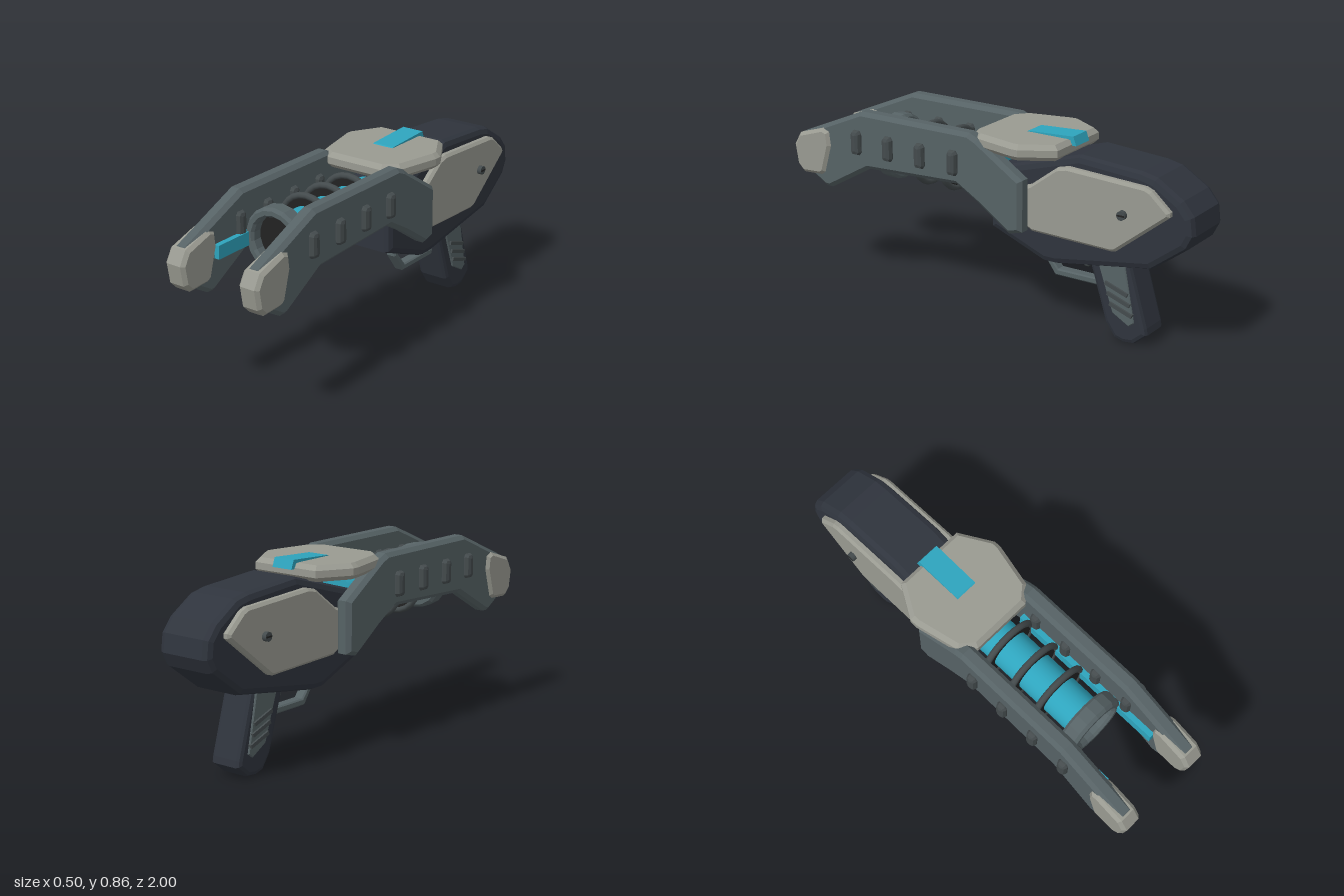
import * as THREE from 'three';

const mat = (name, color) => Object.assign(new THREE.MeshStandardMaterial({ color }), { name });

export function createModel() {
  const root = new THREE.Group();
  root.name = 'toyBlaster';
  const navy = mat('navy shell', 0x2f343d);
  const stone = mat('stone panel', 0x999a91);
  const grey = mat('slate grey', 0x566265);
  const dark = mat('dark grey', 0x444b4d);
  const cyan = mat('cyan glow', 0x2ea4bd);
  const black = mat('black core', 0x222222);

  const add = (geo, material, name, parent = root) => {
    const m = new THREE.Mesh(geo, material);
    m.name = name;
    parent.add(m);
    return m;
  };

  // Bevelled slab kept inside its outline and thickness
  const slab = (pts, width, bevel, segments = 1) => {
    const g = new THREE.ExtrudeGeometry(new THREE.Shape(pts.map(p => new THREE.Vector2(...p))), {
      depth: width - 2 * bevel, steps: 1, bevelEnabled: bevel > 0, bevelSize: bevel,
      bevelThickness: bevel, bevelOffset: -bevel, bevelSegments: segments,
    });
    return g.translate(0, 0, -(width - 2 * bevel) / 2);
  };
  // Side profile given as (z, y), centred on x
  const side = (pts, width, bevel, x = 0, segments = 1) =>
    slab(pts, width, bevel, segments).rotateY(-Math.PI / 2).translate(x, 0, 0);

  // Rear shell
  add(side([[-0.02, 0.41], [-0.29, 0.305], [-0.35, 0.305], [-0.81, 0.38], [-0.97, 0.5], [-1, 0.56],
    [-0.99, 0.64], [-0.94, 0.7], [-0.82, 0.775], [-0.75, 0.79], [-0.46, 0.81], [-0.24, 0.745],
    [-0.02, 0.68]], 0.266, 0.03, 0, 2), navy, 'shell');

  // Top plate and raised tab
  const half = [[0.14, 0.055], [0.205, 0], [0.25, -0.2], [0.25, -0.235], [0.165, -0.38]];
  const outline = [...half, ...half.map(([x, z]) => [-x, z]).reverse()];
  add(slab(outline, 0.07, 0.02).rotateX(Math.PI / 2).translate(0, 0.81, 0)
    .scale(1, 1, 1), stone, 'topPlate');
  add(side([[-0.15, 0.843], [-0.16, 0.848], [-0.385, 0.86], [-0.4, 0.82], [-0.38, 0.82], [-0.37, 0.843]],
    0.104, 0), cyan, 'topTab');

  // Grip
  add(side([[-0.48, 0.36], [-0.57, 0.075], [-0.615, 0.012], [-0.66, 0], [-0.71, 0.005], [-0.77, 0.055],
    [-0.765, 0.085], [-0.68, 0.37]], 0.156, 0.02, 0, 2), navy, 'grip');

  // Trigger guard and trigger
  const guard = [[-0.22, 0.33], [-0.22, 0.3], [-0.285, 0.21], [-0.52, 0.21], [-0.53, 0.24],
    [-0.3, 0.24], [-0.25, 0.3], [-0.25, 0.33]];
  add(side(guard, 0.05, 0.006), grey, 'triggerGuard');
  add(side([[-0.4, 0.34], [-0.425, 0.3], [-0.425, 0.28], [-0.445, 0.28], [-0.46, 0.34]], 0.03, 0.004),
    dark, 'trigger');

  // Barrel: glowing tube, coil rings, muzzle
  const barrel = new THREE.Group();
  barrel.name = 'barrel';
  barrel.position.y = 0.645;
  root.add(barrel);
  const rod = (r, z0, z1, n = 32) =>
    new THREE.CylinderGeometry(r, r, z1 - z0, n).rotateX(Math.PI / 2).translate(0, 0, (z0 + z1) / 2);
  add(rod(0.09, -0.04, 0.55), cyan, 'glowTube', barrel);
  for (const z of [0.095, 0.24, 0.385]) {
    add(new THREE.TorusGeometry(0.135, 0.015, 8, 24).translate(0, 0, z), dark, 'coilRing', barrel);
    add(rod(0.125, z - 0.008, z + 0.008), black, 'coilDisc', barrel);
  }
  const muzzle = [[0.108, 0.53], [0.138, 0.53], [0.15, 0.542], [0.15, 0.598], [0.138, 0.612],
    [0.118, 0.612], [0.108, 0.6], [0.108, 0.53]].map(p => new THREE.Vector2(...p));
  const muzzleMat = grey;
  add(new THREE.LatheGeometry(muzzle.reverse(), 18).toNonIndexed().rotateX(Math.PI / 2), muzzleMat, 'muzzleRing', barrel)
    .geometry.computeVertexNormals();
  // Flip winding if the lathe faces inward
  fixWinding(barrel.getObjectByName('muzzleRing').geometry);
  add(rod(0.11, 0.54, 0.56), black, 'muzzleDisc', barrel);

  // Parts on both sides
  const arm = [[0.99, 0.63], [0.955, 0.7], [0.615, 0.845], [0.035, 0.845], [-0.01, 0.825], [-0.235, 0.68],
    [-0.235, 0.45], [-0.17, 0.433], [-0.02, 0.535], [0.1, 0.605], [0.58, 0.585], [0.8, 0.46],
    [0.83, 0.46], [0.95, 0.53], [0.985, 0.57]];
  const tip = [[1, 0.635], [0.965, 0.695], [0.83, 0.738], [0.795, 0.725], [0.787, 0.66], [0.825, 0.53],
    [0.845, 0.515], [0.95, 0.51], [0.985, 0.545]];
  const panel = [[-0.15, 0.5], [-0.25, 0.445], [-0.64, 0.435], [-0.66, 0.44], [-0.905, 0.635], [-0.905, 0.655],
    [-0.82, 0.73], [-0.79, 0.742], [-0.42, 0.76], [-0.37, 0.748], [-0.24, 0.65], [-0.15, 0.62]];
  const gripPanel = [[-0.535, 0.345], [-0.665, 0.355], [-0.715, 0.105], [-0.69, 0.085], [-0.61, 0.13]];
  const stud = [[0.025, 0.042], [0.015, 0.056], [-0.015, 0.056], [-0.025, 0.042], [-0.025, -0.042],
    [-0.015, -0.056], [0.015, -0.056], [0.025, -0.042]];
  for (const s of [1, -1]) {
    const g = new THREE.Group();
    g.name = s > 0 ? 'leftSide' : 'rightSide';
    root.add(g);
    add(side(arm, 0.076, 0.018, s * 0.188), grey, 'arm', g);
    add(side(tip, 0.1, 0.015, s * 0.19), stone, 'armTip', g);
    for (const z of [0.11, 0.285, 0.46, 0.635])
      add(side(stud, 0.124, 0.02, s * 0.19, 2).translate(0, 0.703, z), dark, 'armStud', g);
    add(new THREE.BoxGeometry(0.03, 0.06, 0.76).translate(s * 0.14, 0.635, 0.42), cyan, 'armLight', g);
    add(side(panel, 0.06, 0.012, s * 0.134), stone, 'sidePanel', g);

    // Slotted screw
    add(new THREE.CylinderGeometry(0.02, 0.02, 0.03, 16).rotateZ(Math.PI / 2)
      .translate(s * 0.169, 0.61, -0.695), dark, 'screw', g);
    add(new THREE.BoxGeometry(0.002, 0.007, 0.034).translate(s * 0.1845, 0.61, -0.695), black, 'screwSlot', g);

    // Grip inlay with slanted ribs
    add(side(gripPanel, 0.02, 0.004, s * 0.076), grey, 'gripPanel', g);
    for (let i = 0; i < 3; i++) {
      const rib = new THREE.BoxGeometry(0.02, 0.017, 0.115).rotateX(-0.33);
      add(rib.translate(s * 0.085, 0.245 - i * 0.045, -0.63 - i * 0.012), dark, 'gripRib', g);
    }
  }
  return root;
}

// Makes a closed mesh face outward by checking its signed volume
function fixWinding(geo) {
  const p = geo.attributes.position;
  const [a, b, c] = [0, 1, 2].map(() => new THREE.Vector3());
  let volume = 0;
  for (let i = 0; i < p.count; i += 3) {
    a.fromBufferAttribute(p, i); b.fromBufferAttribute(p, i + 1); c.fromBufferAttribute(p, i + 2);
    volume += a.dot(b.clone().cross(c));
  }
  if (volume < 0) {
    for (let i = 0; i < p.count; i += 3) {
      b.fromBufferAttribute(p, i + 1); c.fromBufferAttribute(p, i + 2);
      p.setXYZ(i + 1, c.x, c.y, c.z);
      p.setXYZ(i + 2, b.x, b.y, b.z);
    }
  }
  geo.computeVertexNormals();
}
